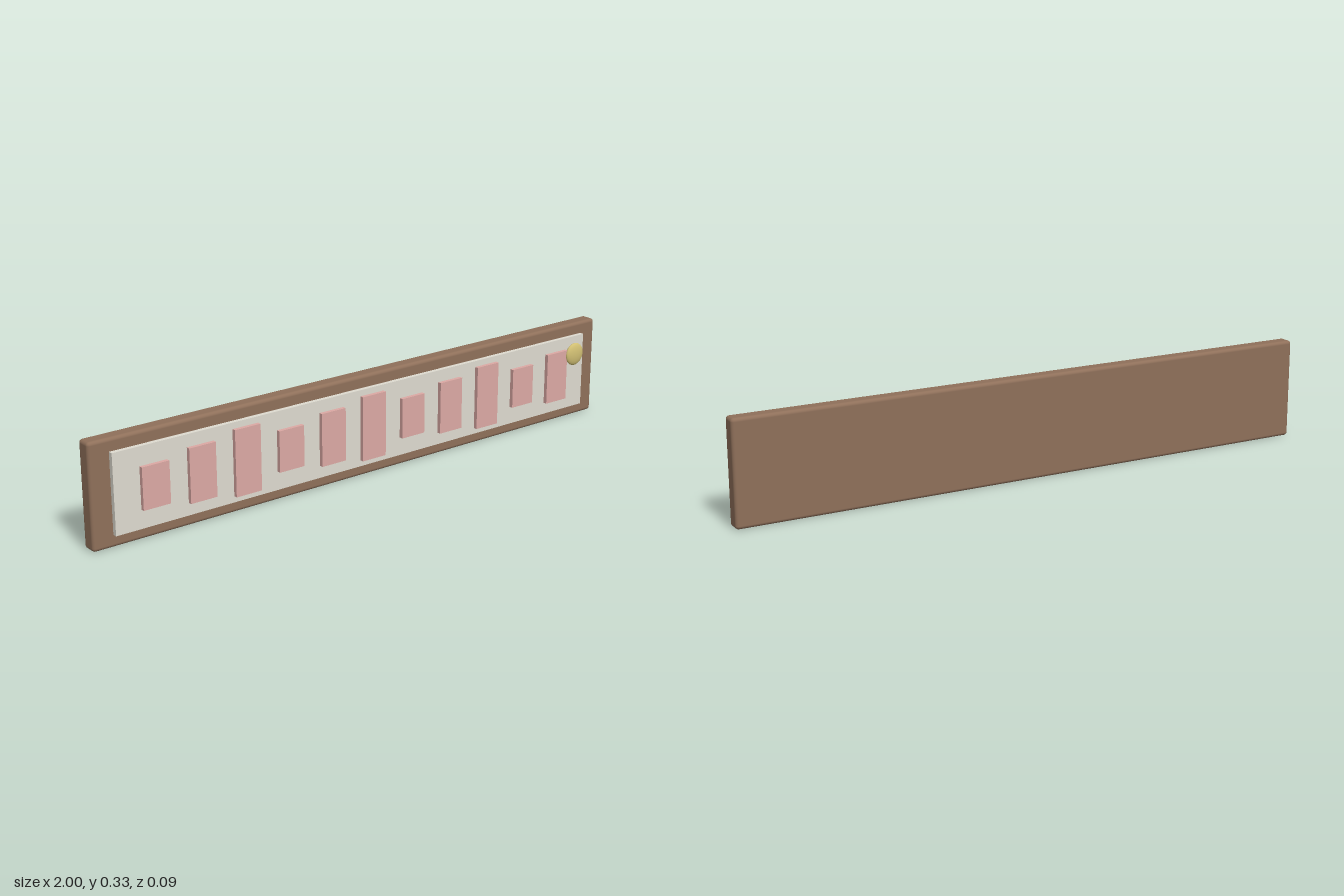
import * as THREE from 'three';
import { RoundedBoxGeometry } from 'three/addons/geometries/RoundedBoxGeometry.js';

const MID_Y = 0.1665;

export function createModel() {
  const group = new THREE.Group();
  const paint = (color) => new THREE.MeshStandardMaterial({ color });
  const wood = paint(0x8f705a);
  const cream = paint(0xdedbd0);
  const pink = paint(0xdca9a4);
  const brass = paint(0xd2c074);

  const add = (name, geometry, material, x, y, z) => {
    const mesh = new THREE.Mesh(geometry, material);
    mesh.name = name;
    mesh.position.set(x, y, z);
    group.add(mesh);
    return mesh;
  };

  // Backing board with softened edges
  add('board', new RoundedBoxGeometry(2, 0.333, 0.052, 3, 0.011), wood, 0, MID_Y, -0.02);

  // Raised inlay panel
  add('panel', new THREE.BoxGeometry(1.866, 0.253, 0.02), cream, 0, MID_Y, 0.011);

  // Row of tiles, cycling through three heights
  const heights = [0.133, 0.173, 0.213];
  for (let i = 0; i < 11; i++) {
    const tile = new THREE.BoxGeometry(0.092, heights[i % 3], 0.013);
    add(`tile${i + 1}`, tile, pink, (i - 5) * 0.16, MID_Y, 0.0275);
  }

  // Flattened round stud in the upper corner
  const stud = add('stud', new THREE.SphereGeometry(0.039, 24, 16), brass, 0.88, 0.234, 0.034);
  stud.scale.z = 0.31;

  return group;
}
